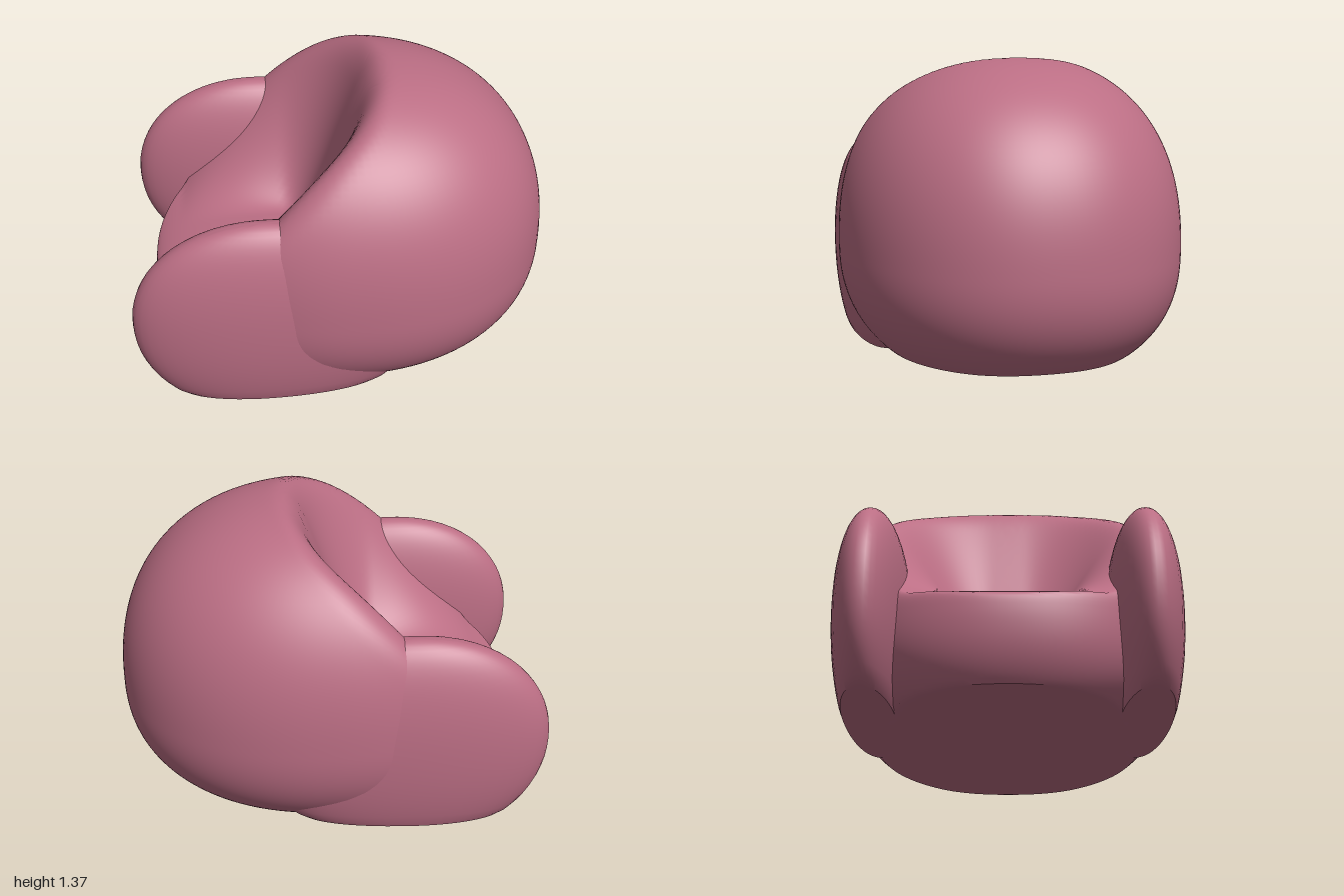
import * as THREE from 'three';
import { toCreasedNormals } from 'three/addons/utils/BufferGeometryUtils.js';

const { smoothstep, lerp, clamp } = THREE.MathUtils;

// Superellipsoid with a separate radius for each half of x and y, cut flat at the floor.
// plan squares its outline from above, power squares its upright sections.
function blob({ front, back, up, down, width, plan, power, centre }, segments, sculpt = (x, y) => y) {
  const geometry = new THREE.SphereGeometry(1, segments, Math.round(segments * 0.7));
  const p = geometry.attributes.position;
  for (let i = 0; i < p.count; i++) {
    const x = p.getX(i), y = p.getY(i), z = p.getZ(i);
    const outline = (Math.abs(x) ** plan + Math.abs(z) ** plan) ** (power / plan);
    const s = (outline + Math.abs(y) ** power) ** (-1 / power);
    const px = centre[0] + x * s * (x < 0 ? front : back);
    const py = centre[1] + y * s * (y < 0 ? down : up);
    const pz = z * s * width;
    p.setXYZ(i, px, Math.max(0, sculpt(px, py, pz)), pz);
  }
  return toCreasedNormals(geometry, 0.9);
}

// Smooth minimum, for a softly rounded rim
function softMin(a, b, k) {
  const h = Math.max(k - Math.abs(a - b), 0) / k;
  return Math.min(a, b) - h * h * k * 0.25;
}

// Height of the scooped seat: rounded front lip, backrest, sloping rim at the sides
function scoop(x, z) {
  const lip = clamp((-x - 0.35) / 0.57, 0, 1);
  const seat = 0.48 + 0.97 * smoothstep(x, -0.25, 0.25);
  const rim = Math.max(1.3 + 1.06 * x, seat);
  const crest = 3 * Math.max(0, x - 0.1) ** 2;
  const drop = 0.15 * (1 - Math.sqrt(1 - lip * lip));
  return lerp(seat, rim, smoothstep(Math.abs(z), 0.08, 0.56 - 0.25 * x)) + crest - drop;
}

// Presses the seat into the body and lowers the bulge of its front edge
function sculptBody(x, y, z) {
  return softMin(y - 0.15 * smoothstep(-x, 0.3, 0.9), scoop(x, z), 0.16);
}

export function createModel() {
  const model = new THREE.Group();
  model.name = 'armchair';
  const fabric = new THREE.MeshStandardMaterial({ color: 0xbb6e84 });

  // Round body with seat and backrest
  const body = new THREE.Mesh(
    blob(
      { front: 0.94, back: 0.97, up: 0.905, down: 0.65, width: 0.81, plan: 2.15, power: 2.35, centre: [0.03, 0.48] },
      128,
      sculptBody
    ),
    fabric
  );
  body.name = 'seatAndBackrest';
  model.add(body);

  // Slim rounded armrests on both sides
  const armGeometry = blob(
    { front: 0.62, back: 0.75, up: 0.54, down: 0.57, width: 0.172, plan: 2.1, power: 2.1, centre: [-0.38, 0.42] },
    48
  );
  for (const side of [1, -1]) {
    const arm = new THREE.Mesh(armGeometry, fabric);
    arm.name = side > 0 ? 'frontSideArmrest' : 'backSideArmrest';
    arm.position.z = side * 0.608;
    model.add(arm);
  }
  return model;
}
